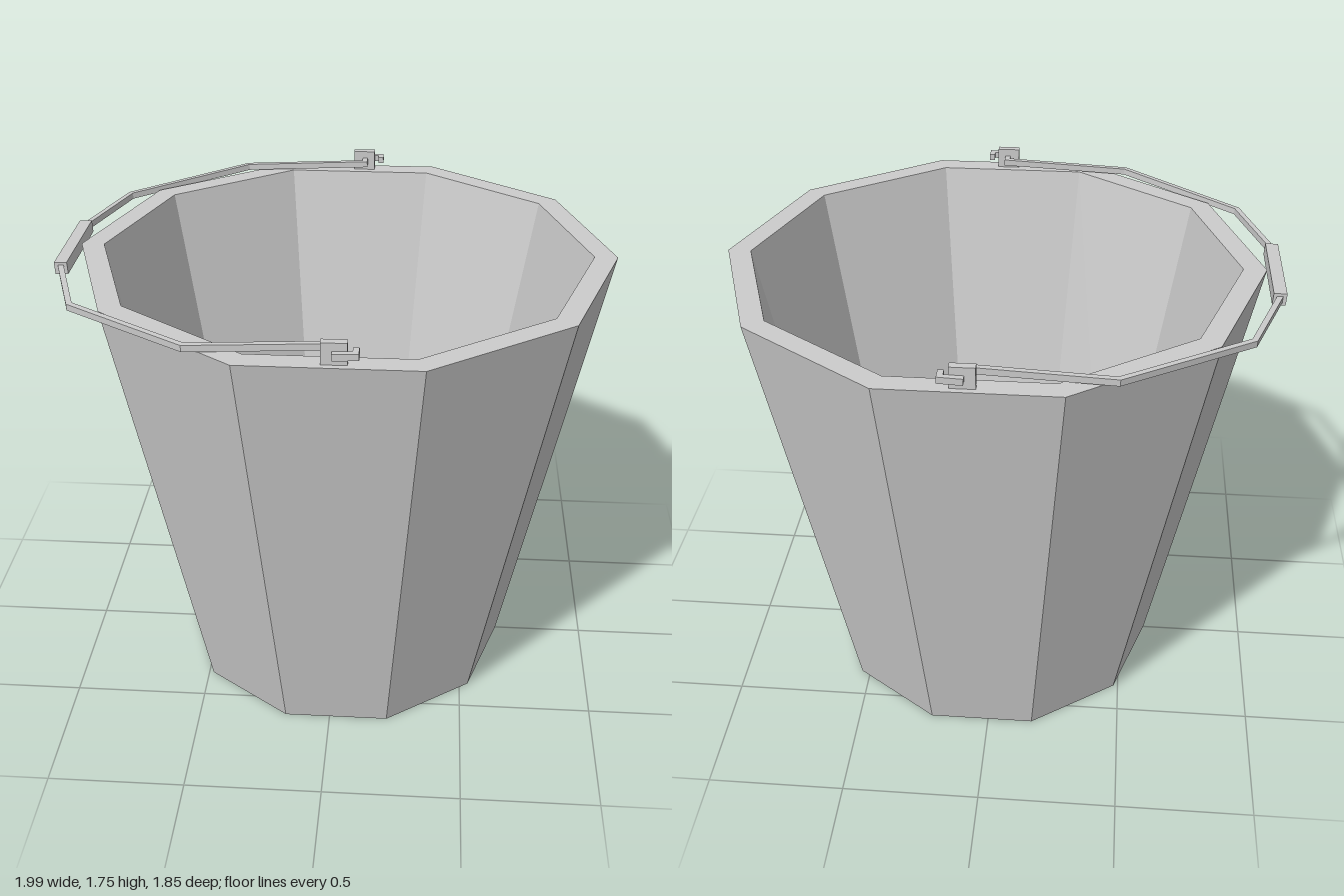
import * as THREE from 'three';

const material = new THREE.MeshStandardMaterial({ color: 0xcccccc, flatShading: true });

function addMesh(parent, name, geometry, x = 0, y = 0, z = 0) {
  const mesh = new THREE.Mesh(geometry, material);
  mesh.name = name;
  mesh.position.set(x, y, z);
  parent.add(mesh);
  return mesh;
}

// Closed outline of a flat strip that follows a path, with mitred corners
function stripShape(path, width) {
  const normals = path.slice(1).map((p, i) => {
    const d = p.clone().sub(path[i]).normalize();
    return new THREE.Vector2(-d.y, d.x);
  });
  const side = (sign) => path.map((p, i) => {
    const a = normals[Math.max(i - 1, 0)];
    const b = normals[Math.min(i, normals.length - 1)];
    const mitre = a.clone().add(b).divideScalar(1 + a.dot(b));
    return p.clone().addScaledVector(mitre, sign * width / 2);
  });
  return new THREE.Shape([...side(1), ...side(-1).reverse()]);
}

export function createModel() {
  const model = new THREE.Group();
  model.name = 'bucket';
  const centreX = 0.025;

  // Ten-sided tapered body: underside, outer wall, rim, inner wall, floor
  const profile = [[0, 0], [0.628, 0], [0.97, 1.68], [0.887, 1.68], [0.556, 0.05], [0, 0.05]]
    .map(([r, y]) => new THREE.Vector2(r, y));
  const body = new THREE.LatheGeometry(profile, 10, Math.PI / 2).toNonIndexed();
  body.computeVertexNormals();
  addMesh(model, 'body', body, centreX);

  // Lugs standing on the rim
  for (const s of [1, -1]) {
    addMesh(model, s > 0 ? 'frontLug' : 'backLug',
      new THREE.BoxGeometry(0.084, 0.08, 0.028), 0.042, 1.715, s * 0.887);
  }

  // Handle lies tilted over the rim, pivoting at the lugs
  const handle = new THREE.Group();
  handle.name = 'handle';
  handle.position.set(0.05, 1.716, 0);
  handle.rotation.z = 0.047;
  model.add(handle);

  // Half of the bar in plan, from the hooked end to the grip
  const half = [[0.11, 0.875], [0.11, 0.912], [0.046, 0.912], [0.046, 0.838],
    [-0.435, 0.838], [-0.868, 0.523], [-0.975, 0.2]]
    .map(([x, z]) => new THREE.Vector2(x - 0.05, z));
  const mirrored = half.map((p) => new THREE.Vector2(p.x, -p.y)).reverse();
  const thickness = 0.023;
  const bar = new THREE.ExtrudeGeometry(stripShape([...half, ...mirrored], 0.02),
    { depth: thickness, bevelEnabled: false });
  bar.translate(0, 0, -thickness / 2).rotateX(-Math.PI / 2);
  addMesh(handle, 'handleBar', bar);

  // Square grip in the middle of the bar
  addMesh(handle, 'grip', new THREE.BoxGeometry(0.046, 0.044, 0.4), -1.025);

  return model;
}
